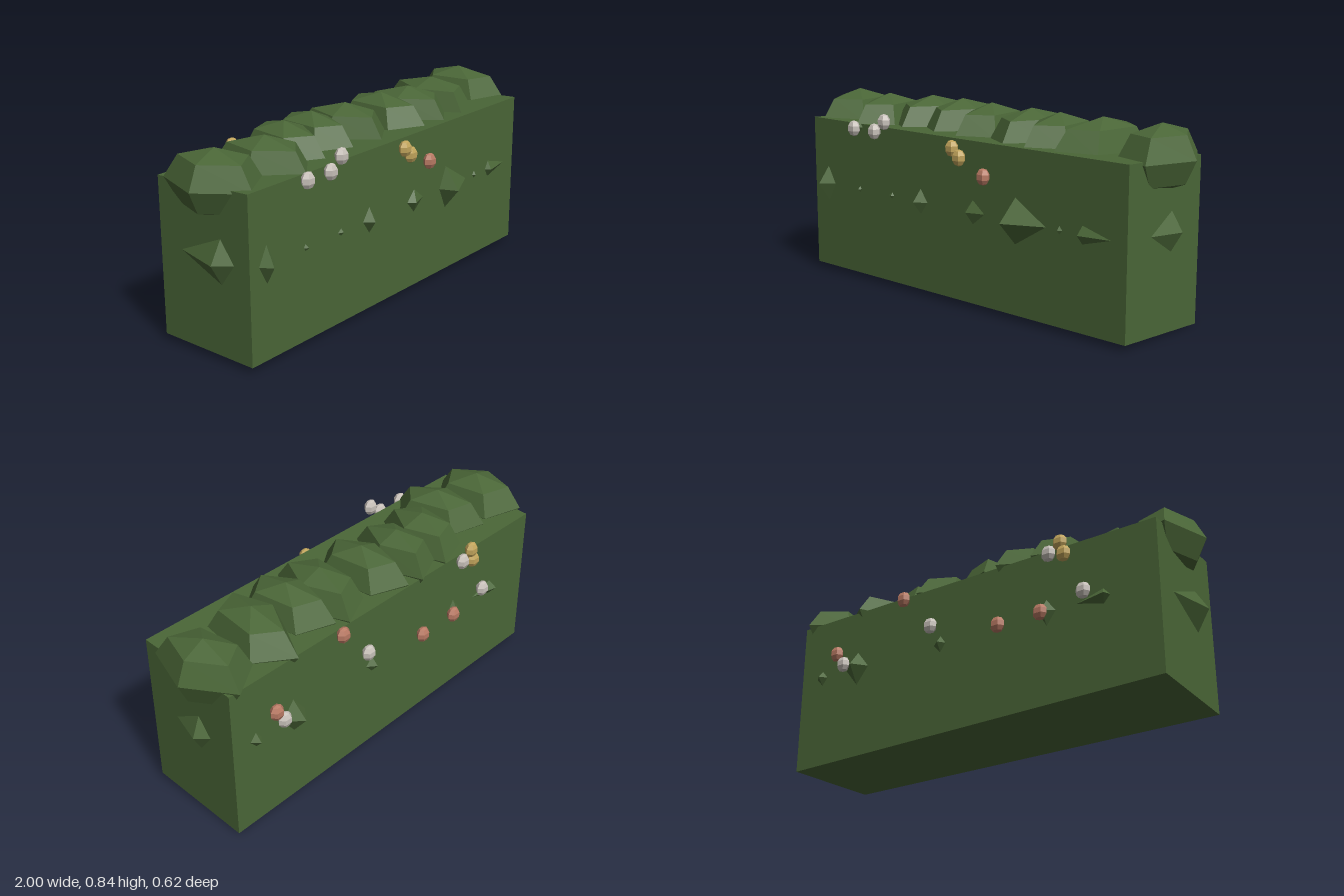
import * as THREE from 'three';
import { ConvexGeometry } from 'three/addons/geometries/ConvexGeometry.js';

const material = (name, color) => {
  const m = new THREE.MeshStandardMaterial({ color, flatShading: true });
  m.name = name;
  return m;
};

export function createModel() {
  const leaf = material('leaf green', 0x4a6637);
  const white = material('white blossom', 0xc8c1ba);
  const gold = material('gold blossom', 0xc2a55c);
  const pink = material('pink blossom', 0xb97a64);

  const hedge = new THREE.Group();
  hedge.name = 'hedge';
  const add = (name, geometry, mat, x, y, z) => {
    const mesh = new THREE.Mesh(geometry, mat);
    mesh.name = name;
    mesh.position.set(x, y, z);
    hedge.add(mesh);
    return mesh;
  };

  // Clipped body, with a slightly skewed rear side
  const body = new THREE.BoxGeometry(1.81, 0.695, 0.475);
  const p = body.attributes.position;
  for (let i = 0; i < p.count; i++) {
    if (p.getZ(i) > 0) continue;
    if (p.getY(i) > 0) p.setY(i, p.getY(i) - 0.022);
    else p.setY(i, p.getY(i) + (p.getX(i) > 0 ? -0.025 : 0.004));
  }
  body.computeVertexNormals();
  add('hedgeBody', body, leaf, 0.005, 0.3725, -0.01);

  // Row of five-sided leafy mounds: x, z, half width, half depth, turn
  const mounds = [
    [-0.835, 0, 0.16, 0.22, 0.14],
    [-0.595, 0.03, 0.14, 0.225, 0.24],
    [-0.395, -0.05, 0.14, 0.22, Math.PI - 0.14],
    [-0.215, -0.06, 0.13, 0.22, Math.PI - 0.08],
    [-0.02, -0.04, 0.14, 0.225, 0.12],
    [0.215, -0.03, 0.14, 0.235, Math.PI - 0.05],
    [0.385, -0.01, 0.14, 0.225, 0.14],
    [0.59, -0.03, 0.145, 0.25, -0.12],
    [0.855, -0.055, 0.15, 0.225, Math.PI + 0.12],
  ];
  const moundShape = new THREE.SphereGeometry(1, 5, 4);
  for (const [x, z, w, d, turn] of mounds) {
    const mound = add('leafMound', moundShape, leaf, x, 0.705, z);
    mound.scale.set(w, 0.135, d);
    mound.rotation.y = turn;
  }

  // Pointed leaf tufts: base ends a and b, ridge position, tip position, half height, depth
  const tuft = (a, ridge, tip, b, h, d, x, z, turn) => {
    const s = -0.01;
    const shape = new ConvexGeometry([
      new THREE.Vector3(a, 0, s), new THREE.Vector3(b, 0, s),
      new THREE.Vector3(ridge, h, s), new THREE.Vector3(ridge, -h, s),
      new THREE.Vector3(tip, 0, d),
    ]);
    add('leafTuft', shape, leaf, x, 0.42, z).rotation.y = turn;
  };
  const front = [
    [-0.855, -0.805, -0.82, -0.75, 0.095, 0.05],
    [-0.608, -0.59, -0.585, -0.573, 0.024, 0.015],
    [-0.415, -0.375, -0.37, -0.355, 0.028, 0.012],
    [-0.24, -0.19, -0.2, -0.14, 0.07, 0.04],
    [0.06, 0.125, 0.1, 0.215, 0.07, 0.027],
    [0.305, 0.355, 0.34, 0.535, 0.108, 0.08],
    [0.56, 0.585, 0.58, 0.613, 0.032, 0.012],
    [0.67, 0.7, 0.69, 0.89, 0.052, 0.025],
  ];
  for (const t of front) tuft(...t, 0, 0.2275, 0);
  // The back wall runs the other way, so these are given as -x
  const back = [
    [-0.83, -0.79, -0.79, -0.755, 0.045, 0.03],
    [-0.66, -0.59, -0.58, -0.52, 0.09, 0.062],
    [-0.18, -0.135, -0.13, -0.1, 0.05, 0.03],
    [0.35, 0.395, 0.39, 0.45, 0.075, 0.035],
    [0.49, 0.65, 0.67, 0.69, 0.045, 0.03],
  ];
  for (const t of back) tuft(...t, 0, -0.2475, Math.PI);
  tuft(-0.11, 0.055, 0.068, 0.13, 0.1, 0.045, 0.91, 0, Math.PI / 2);
  tuft(-0.17, 0.08, 0.08, 0.16, 0.11, 0.055, -0.9, 0, -Math.PI / 2);

  // Faceted blossoms on both long sides
  const blossomShape = new THREE.SphereGeometry(1, 6, 5);
  const blossoms = [
    [-0.595, 0.7, 0.25, white], [-0.46, 0.7, 0.25, white], [-0.395, 0.748, 0.25, white],
    [0.02, 0.68, 0.25, gold], [0.06, 0.645, 0.25, gold], [0.197, 0.583, 0.25, pink],
    [0.695, 0.51, -0.268, pink], [0.655, 0.45, -0.268, white], [0.325, 0.68, -0.268, pink],
    [0.175, 0.51, -0.268, white], [-0.17, 0.42, -0.268, pink], [-0.375, 0.42, -0.268, pink],
    [-0.42, 0.675, -0.268, white], [-0.475, 0.71, -0.268, gold],
    [-0.49, 0.655, -0.268, gold], [-0.575, 0.46, -0.268, white],
  ];
  for (const [x, y, z, mat] of blossoms) {
    add('blossom', blossomShape, mat, x, y, z).scale.set(0.034, 0.036, 0.026);
  }
  return hedge;
}
